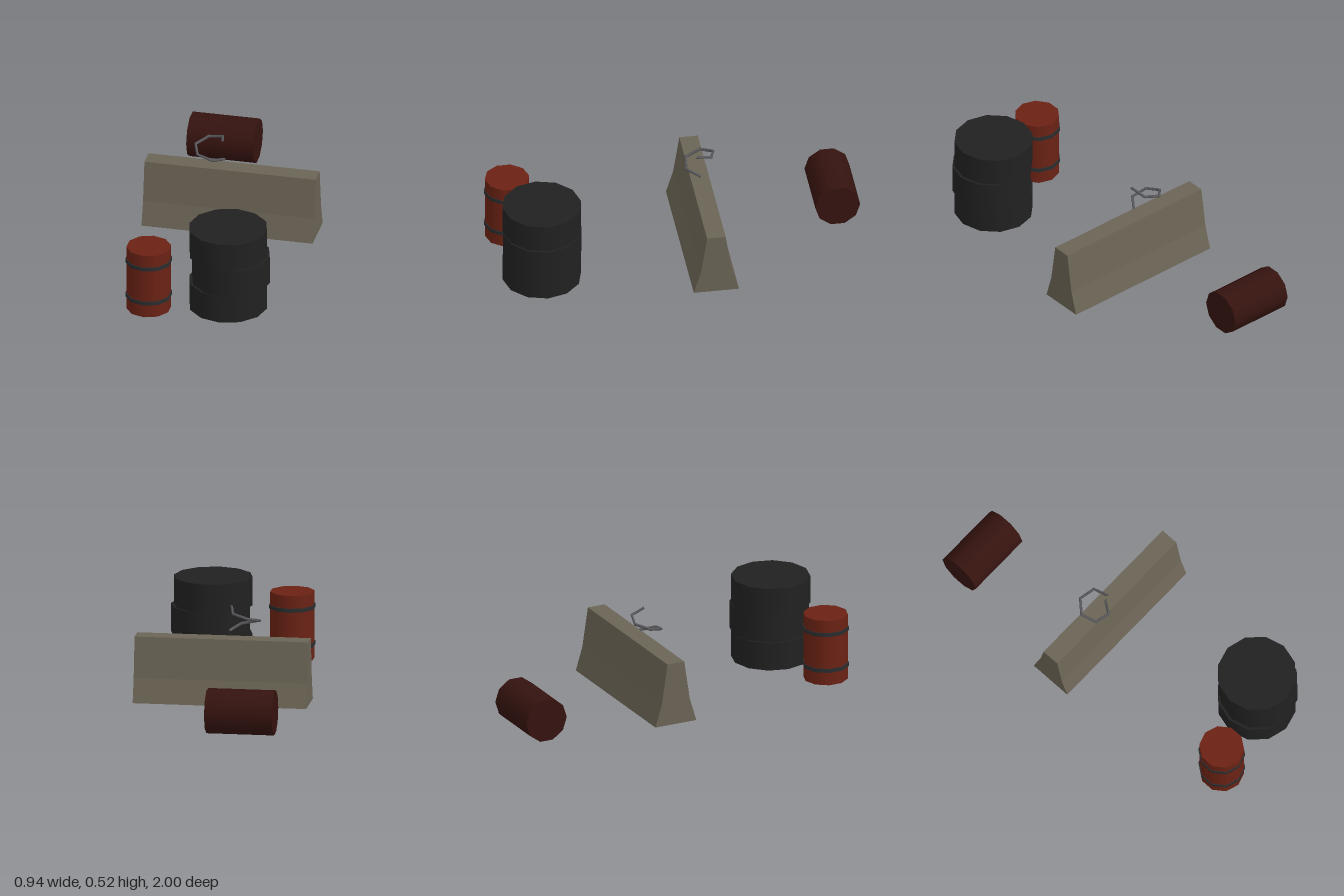
import * as THREE from 'three';

const mat = (color, side = THREE.FrontSide) => new THREE.MeshStandardMaterial({ color, side });

function part(parent, name, geometry, material, x, y, z) {
  const mesh = new THREE.Mesh(geometry, material);
  mesh.name = name;
  mesh.position.set(x, y, z);
  parent.add(mesh);
  return mesh;
}

// One-turn rising coil
class Coil extends THREE.Curve {
  getPoint(t, target = new THREE.Vector3()) {
    const a = THREE.MathUtils.degToRad(4 + 375 * t);
    return target.set(0.082 * Math.cos(a), 0.123 * t, 0.082 * Math.sin(a));
  }
}

export function createModel() {
  const model = new THREE.Group();
  model.name = 'roadObstacles';

  const red = mat(0x6b2214);
  const darkRed = mat(0x35130f);
  const band = mat(0x2a2c2d);
  const rubber = mat(0x212121);
  const concrete = mat(0x6b6455);
  const steel = mat(0x58585c, THREE.DoubleSide);

  // Concrete barrier: flared foot, narrow top, extruded along x
  const profile = new THREE.Shape([
    [-0.122, 0], [0.122, 0], [0.083, 0.13], [0.05, 0.348], [-0.05, 0.348], [-0.083, 0.13],
  ].map(([x, y]) => new THREE.Vector2(x, y)));
  const barrier = new THREE.ExtrudeGeometry(profile, { depth: 0.935, bevelEnabled: false });
  barrier.translate(0, 0, -0.4675).rotateY(Math.PI / 2);
  part(model, 'barrier', barrier, concrete, 0, 0, -0.145);

  // Standing barrel with two bands
  const barrel = new THREE.Group();
  barrel.name = 'standingBarrel';
  barrel.position.set(-0.225, 0, 0.874);
  model.add(barrel);
  part(barrel, 'barrelBody', new THREE.CylinderGeometry(0.12, 0.12, 0.368, 10), red, 0, 0.184, 0);
  for (const y of [0.083, 0.288]) {
    part(barrel, 'barrelBand', new THREE.CylinderGeometry(0.125, 0.125, 0.021, 10), band, 0, y, 0);
  }

  // Barrel lying on its side
  const fallen = part(model, 'fallenBarrel', new THREE.CylinderGeometry(0.121, 0.121, 0.365, 10),
    darkRed, -0.207, 0.122, -0.879);
  fallen.rotation.z = Math.PI / 2;

  // Stack of three solid drums, the middle one shifted
  const stack = new THREE.Group();
  stack.name = 'drumStack';
  stack.position.set(0.182, 0, 0.752);
  model.add(stack);
  [0, 0.015, 0].forEach((dx, i) => {
    part(stack, 'drum', new THREE.CylinderGeometry(0.212, 0.212, 0.1555, 12), rubber,
      dx, 0.1555 * (i + 0.5), 0);
  });

  // Wire coil above the barrier
  part(model, 'wireCoil', new THREE.TubeGeometry(new Coil(), 6, 0.008, 6), steel, -0.123, 0.39, -0.147);

  return model;
}
